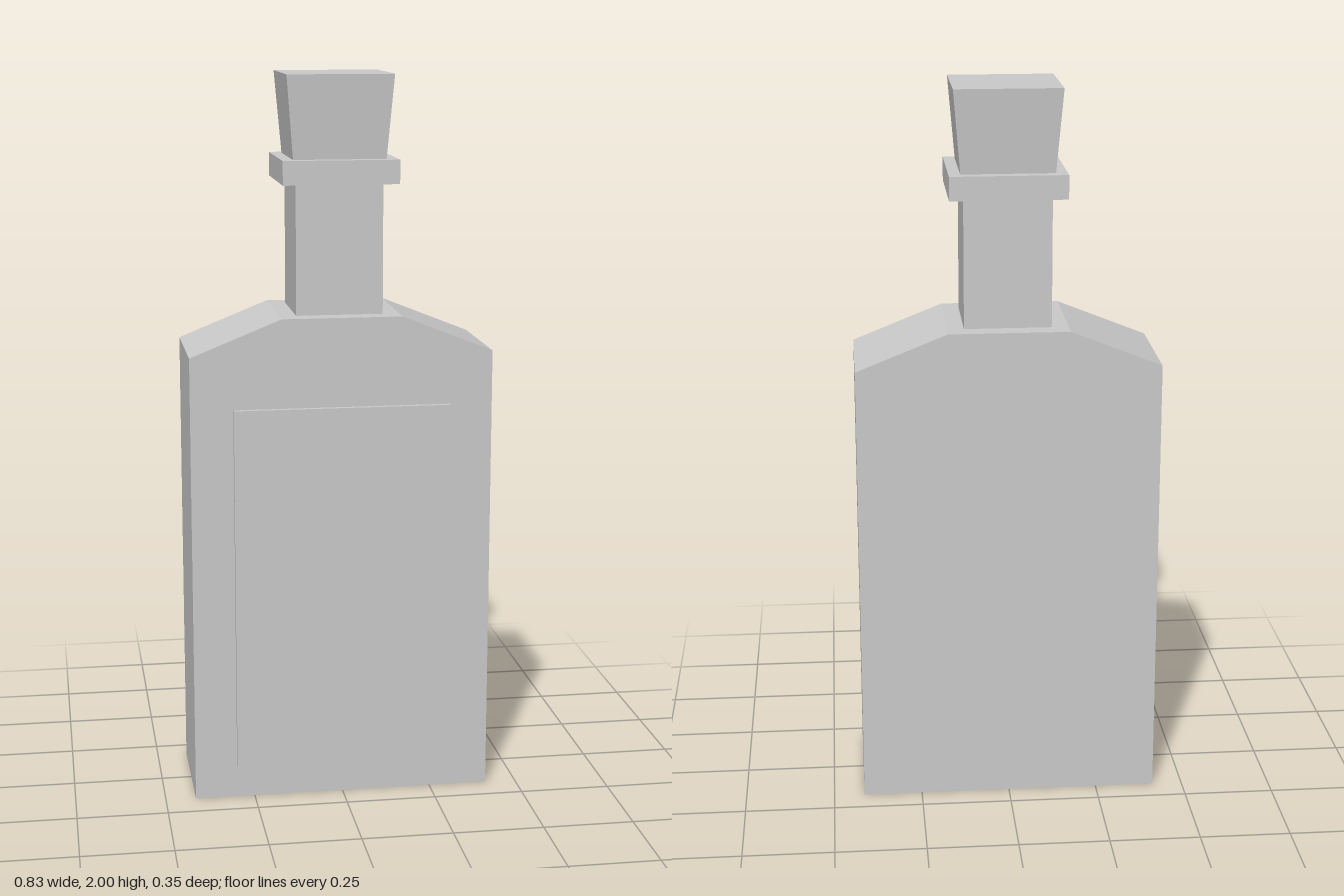
import * as THREE from 'three';

const material = new THREE.MeshStandardMaterial({ color: 0xcccccc, flatShading: true });
const CENTRE_X = -0.001, CENTRE_Z = -0.008;

// Closed flat-faced solid through rectangular sections [y, halfWidth, halfDepth]
function loft(name, sections) {
  const loops = sections.map(([y, w, d]) => [[w, y, d], [w, y, -d], [-w, y, -d], [-w, y, d]]);
  const positions = [];
  const quad = (a, b, c, d) => positions.push(...a, ...b, ...c, ...a, ...c, ...d);

  const [b0, b1, b2, b3] = loops[0];
  quad(b3, b2, b1, b0);
  for (let s = 0; s < loops.length - 1; s++) {
    for (let i = 0; i < 4; i++) {
      const j = (i + 1) % 4;
      quad(loops[s][i], loops[s][j], loops[s + 1][j], loops[s + 1][i]);
    }
  }
  quad(...loops[loops.length - 1]);

  const geometry = new THREE.BufferGeometry();
  geometry.setAttribute('position', new THREE.Float32BufferAttribute(positions, 3));
  geometry.computeVertexNormals();
  const mesh = new THREE.Mesh(geometry, material);
  mesh.name = name;
  mesh.position.set(CENTRE_X, 0, CENTRE_Z);
  return mesh;
}

export function createModel() {
  const bottle = new THREE.Group();
  bottle.name = 'bottle';

  // Body: recessed base, bevelled rim, straight walls, sloping shoulders
  bottle.add(loft('body', [
    [0.02, 0.333, 0.089],
    [0, 0.365, 0.121],
    [0, 0.415, 0.17],
    [1.255, 0.415, 0.17],
    [1.355, 0.165, 0.17],
  ]));

  // Square neck, lip collar and flared stopper
  bottle.add(loft('neck', [[1.35, 0.119, 0.117], [1.72, 0.119, 0.117]]));
  bottle.add(loft('collar', [[1.71, 0.158, 0.154], [1.775, 0.158, 0.154]]));
  bottle.add(loft('stopper', [[1.77, 0.126, 0.122], [2, 0.145, 0.14]]));

  // Raised blank panel on the front
  const panel = new THREE.Mesh(new THREE.BoxGeometry(0.596, 1.02, 0.025), material);
  panel.name = 'frontPanel';
  panel.position.set(CENTRE_X, 0.6, 0.1635);
  bottle.add(panel);

  return bottle;
}
